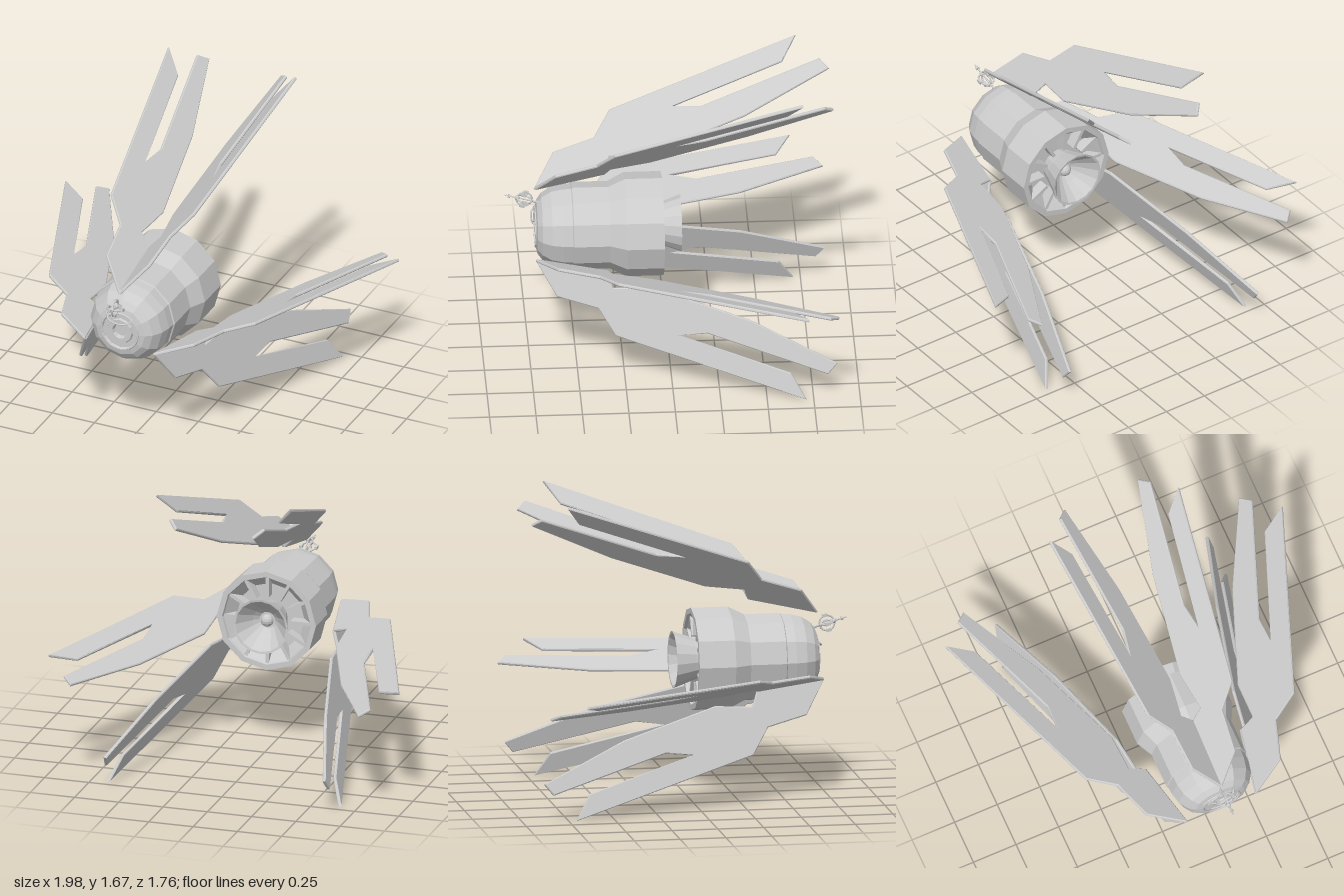
import * as THREE from 'three';

const CY = 0.755;                       // height of the body axis
const grey = new THREE.MeshStandardMaterial({ color: 0xcccccc, flatShading: true, side: THREE.DoubleSide });

function add(parent, name, geometry) {
  const mesh = new THREE.Mesh(geometry, grey);
  mesh.name = name;
  parent.add(mesh);
  return mesh;
}

// Turned part around the z axis from [radius, z] pairs
function turned(points, sides) {
  return new THREE.LatheGeometry(points.map(p => new THREE.Vector2(...p)), sides).rotateX(Math.PI / 2);
}

// Forked fin: side-on outline as [z, y], laid into a plane that leans out from the spine
const SLOPE = 0.224, LEAN = 0.974, TIP = [0.72, 0.99];
const finOutline = [
  TIP, [0.61, 1.14], [0.39, 1.21], [0.30, 1.325], [-0.71, 1.68], [-0.63, 1.57], [-0.04, 1.36],
  [-0.19, 1.37], [-0.83, 1.597], [-0.88, 1.56], [-0.42, 1.345], [0.10, 1.16], [0.31, 1.14], [0.34, 1.075],
];

function finGeometry(side) {
  const flat = finOutline.map(([z, y]) =>
    new THREE.Vector2((y - TIP[1] - SLOPE * (TIP[0] - z)) / LEAN, z - TIP[0]));
  const geometry = new THREE.ExtrudeGeometry(new THREE.Shape(flat), {
    depth: 0.008, bevelEnabled: true, bevelThickness: 0.005, bevelSize: 0.004, bevelOffset: -0.004, bevelSegments: 1,
  }).translate(0, 0, -0.004);
  const across = new THREE.Vector3(side, LEAN, 0);
  const along = new THREE.Vector3(0, -SLOPE, 1);
  const normal = across.clone().cross(along).normalize();
  const place = new THREE.Matrix4().makeBasis(across, along, normal).setPosition(0, TIP[1] - 0.763, TIP[0]);
  return geometry.applyMatrix4(place);
}

export function createModel() {
  const model = new THREE.Group();
  model.name = 'spacecraft';

  const body = new THREE.Group();
  body.name = 'body';
  body.position.y = CY;
  model.add(body);

  // Twelve-sided hull: rear recess, thick collar, taper, rounded nose, front port
  add(body, 'hull', turned([
    [0, 0.11], [0.19, 0.11], [0.245, 0.045], [0.25, 0.03], [0.28, 0.03], [0.28, 0.23], [0.235, 0.32],
    [0.235, 0.515], [0.228, 0.52], [0.226, 0.57], [0.212, 0.63], [0.18, 0.68], [0.145, 0.705], [0.11, 0.713],
    [0.104, 0.70], [0.075, 0.70], [0.07, 0.713], [0.045, 0.713], [0.038, 0.69], [0, 0.69],
  ], 12));

  // Ribs around the rear recess
  const ribs = new THREE.Group();
  ribs.name = 'recessRibs';
  body.add(ribs);
  for (let i = 0; i < 12; i++) {
    const a = i * Math.PI / 6;
    const rib = add(ribs, 'rib', new THREE.BoxGeometry(0.12, 0.018, 0.06));
    rib.position.set(Math.cos(a) * 0.19, Math.sin(a) * 0.19, 0.075);
    rib.rotation.z = a;
  }

  // Flared engine bell with a sunken core
  add(body, 'engineBell', turned([
    [0, 0.05], [0.045, 0.05], [0.06, 0.035], [0.075, 0.02], [0.143, -0.068], [0.155, -0.07], [0.115, 0.04], [0.095, 0.11],
  ], 16));
  add(body, 'engineCore', new THREE.SphereGeometry(0.035, 12, 8)).position.z = 0.045;

  // Front port: rim and arched grab rail
  add(body, 'portRim', new THREE.TorusGeometry(0.108, 0.006, 6, 24)).position.z = 0.712;
  const rail = new THREE.CatmullRomCurve3([
    [-0.08, 0.095, 0.70], [-0.06, 0.07, 0.728], [0, 0.055, 0.735], [0.06, 0.07, 0.728], [0.08, 0.095, 0.70],
  ].map(p => new THREE.Vector3(...p)));
  add(body, 'grabRail', new THREE.TubeGeometry(rail, 16, 0.005, 6));

  // Small caged probe ahead of the nose
  const probe = new THREE.Group();
  probe.name = 'probe';
  probe.position.set(0, 0.928, 0.772);
  probe.rotation.x = -0.27;
  model.add(probe);
  for (let i = 0; i < 2; i++) {
    const hoop = add(probe, 'cageHoop', new THREE.TorusGeometry(0.042, 0.005, 6, 16));
    hoop.rotation.set(i ? Math.PI / 2 : 0, i ? 0 : Math.PI / 2, 0);
  }
  add(probe, 'stem', new THREE.CylinderGeometry(0.004, 0.006, 0.19, 6).rotateX(Math.PI / 2)).position.z = 0.015;
  add(probe, 'head', new THREE.SphereGeometry(0.014, 8, 6)).position.z = 0.04;
  add(probe, 'needleCollar', new THREE.CylinderGeometry(0.01, 0.01, 0.012, 8).rotateX(Math.PI / 2)).position.z = 0.085;
  for (const [x, y] of [[1, 0], [-1, 0], [0, 1], [0, -1]]) {
    const pod = add(probe, 'pod', new THREE.BoxGeometry(0.016, 0.016, 0.028));
    pod.position.set(x * 0.042, y * 0.042, 0);
  }

  // Probe mount reaching back to the nose
  const mount = new THREE.CatmullRomCurve3([
    new THREE.Vector3(0, 0.915, 0.73), new THREE.Vector3(0, 0.905, 0.705), new THREE.Vector3(0, 0.89, 0.685),
  ]);
  add(model, 'probeMount', new THREE.TubeGeometry(mount, 6, 0.006, 6));

  // Three V-shaped pairs of forked fins around the body
  ['topFins', 'lowerLeftFins', 'lowerRightFins'].forEach((name, i) => {
    const pair = new THREE.Group();
    pair.name = name;
    pair.position.y = 0.763;
    pair.rotation.z = THREE.MathUtils.degToRad([0, -116.2, 116.2][i]);
    for (const side of [1, -1]) add(pair, side > 0 ? 'leftFin' : 'rightFin', finGeometry(side));
    model.add(pair);
  });

  return model;
}
